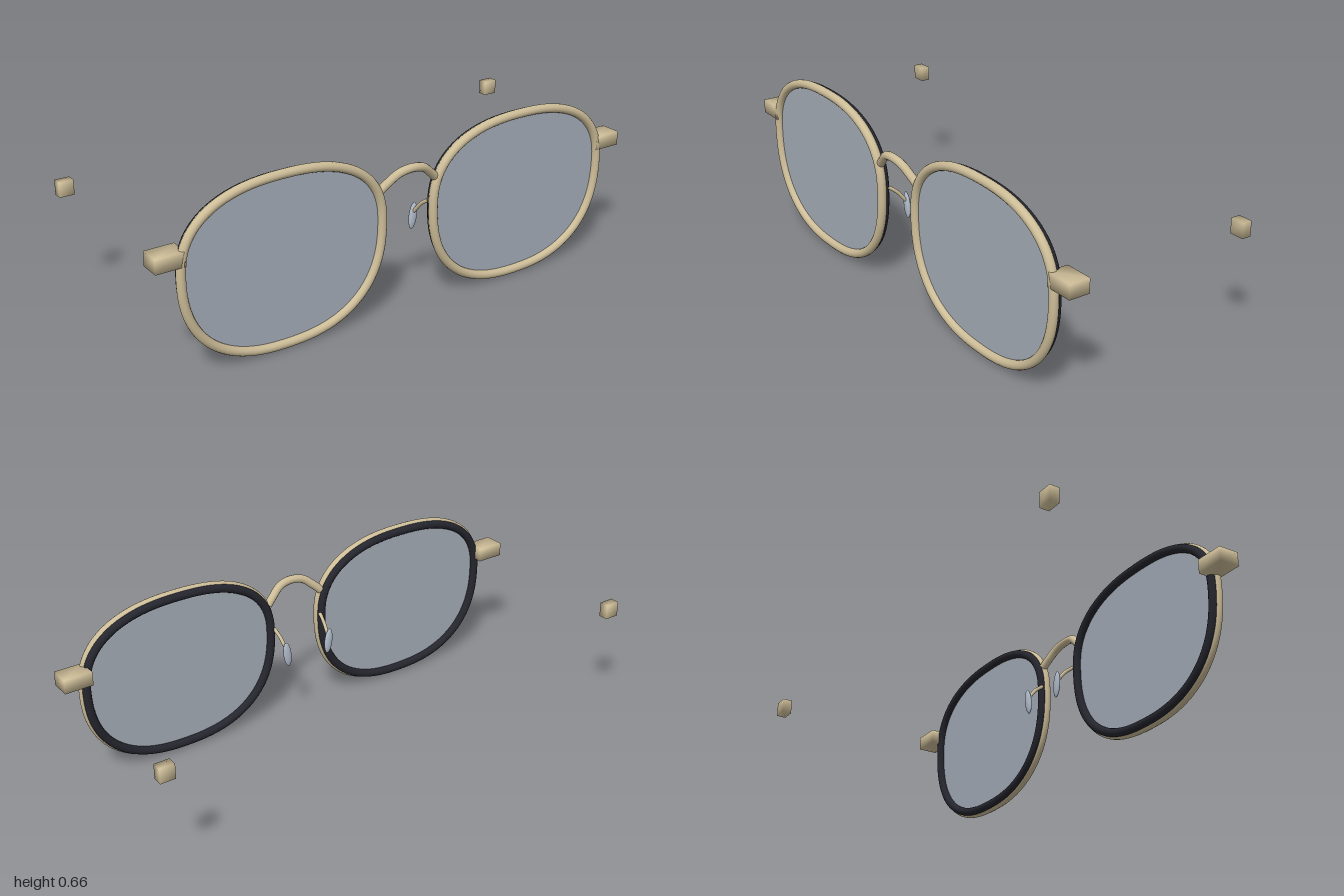
import * as THREE from 'three';
import { mergeVertices } from 'three/addons/utils/BufferGeometryUtils.js';

const gold = new THREE.MeshStandardMaterial({ name: 'pale gold metal', color: 0xcdbd98 });
const dark = new THREE.MeshStandardMaterial({ name: 'dark inner rim', color: 0x25262e });
const glass = new THREE.MeshStandardMaterial({ name: 'grey lens', color: 0xa6aeb9 });
const clear = new THREE.MeshStandardMaterial({ name: 'pale blue pad', color: 0xb0bccb });

// Rounded lens outline, taller below its widest line than above it
function outline(inset) {
  const points = [], count = 64, power = 2 / 2.4;
  for (let i = 0; i < count; i++) {
    const a = (i / count) * Math.PI * 2;
    const c = Math.cos(a), s = Math.sin(a);
    const half = (s > 0 ? 0.27 : 0.36) - inset;
    points.push(new THREE.Vector2(
      Math.sign(c) * Math.abs(c) ** power * (0.396 - inset),
      0.376 + Math.sign(s) * Math.abs(s) ** power * half,
    ));
  }
  return points;
}

function add(parent, name, geometry, material) {
  const mesh = new THREE.Mesh(geometry, material);
  mesh.name = name;
  parent.add(mesh);
  return mesh;
}

// Closed wire following the lens outline
function rimGeometry(inset, radius, z) {
  const path = new THREE.CatmullRomCurve3(
    outline(inset).map((p) => new THREE.Vector3(p.x, p.y, z)), true);
  return new THREE.TubeGeometry(path, 128, radius, 14, true);
}

// Small block with normals shared across its corners
function softBlock(w, h, d) {
  const box = new THREE.BoxGeometry(w, h, d);
  box.deleteAttribute('normal');
  box.deleteAttribute('uv');
  const merged = mergeVertices(box);
  merged.computeVertexNormals();
  return merged;
}

const wire = (points, radius, steps) => new THREE.TubeGeometry(
  new THREE.CatmullRomCurve3(points.map((p) => new THREE.Vector3(...p))), steps, radius, 12);

export function createModel() {
  const model = new THREE.Group();
  model.name = 'eyeglasses';

  for (const side of [-1, 1]) {
    const label = side > 0 ? 'left' : 'right';

    // Rim, dark liner behind it, and lens
    const eye = new THREE.Group();
    eye.name = label + 'Eye';
    eye.position.x = side * 0.508;
    model.add(eye);
    add(eye, 'frontRim', rimGeometry(0, 0.017, 0.361), gold);
    add(eye, 'innerRim', rimGeometry(0.006, 0.016, 0.345), dark);
    const lens = new THREE.ExtrudeGeometry(new THREE.Shape(outline(0.004)),
      { depth: 0.006, bevelEnabled: false });
    add(eye, 'lens', lens.translate(0, 0, 0.352), glass);

    // Hinge block at the rim and the separate rear block
    add(model, label + 'EndPiece', softBlock(0.11, 0.054, 0.08), gold)
      .position.set(side * 0.945, 0.447, 0.337);
    add(model, label + 'RearBlock', softBlock(0.057, 0.057, 0.037), gold)
      .position.set(side * 0.9715, 0.452, -0.3735);

    // Nose pad on its arm
    add(model, label + 'PadArm', wire([
      [side * 0.108, 0.392, 0.338],
      [side * 0.102, 0.365, 0.302],
      [side * 0.097, 0.322, 0.266],
    ], 0.007, 16), gold);
    const pad = add(model, label + 'NosePad', new THREE.SphereGeometry(1, 24, 16), clear);
    pad.scale.set(0.017, 0.052, 0.01);
    pad.position.set(side * 0.096, 0.306, 0.264);
    pad.rotation.z = -side * 0.12;
  }

  // Arched bridge, bowed forward
  add(model, 'bridge', wire([
    [-0.122, 0.485, 0.356], [-0.095, 0.51, 0.363], [-0.052, 0.543, 0.374],
    [0, 0.553, 0.378],
    [0.052, 0.543, 0.374], [0.095, 0.51, 0.363], [0.122, 0.485, 0.356],
  ], 0.016, 40), gold);

  return model;
}
